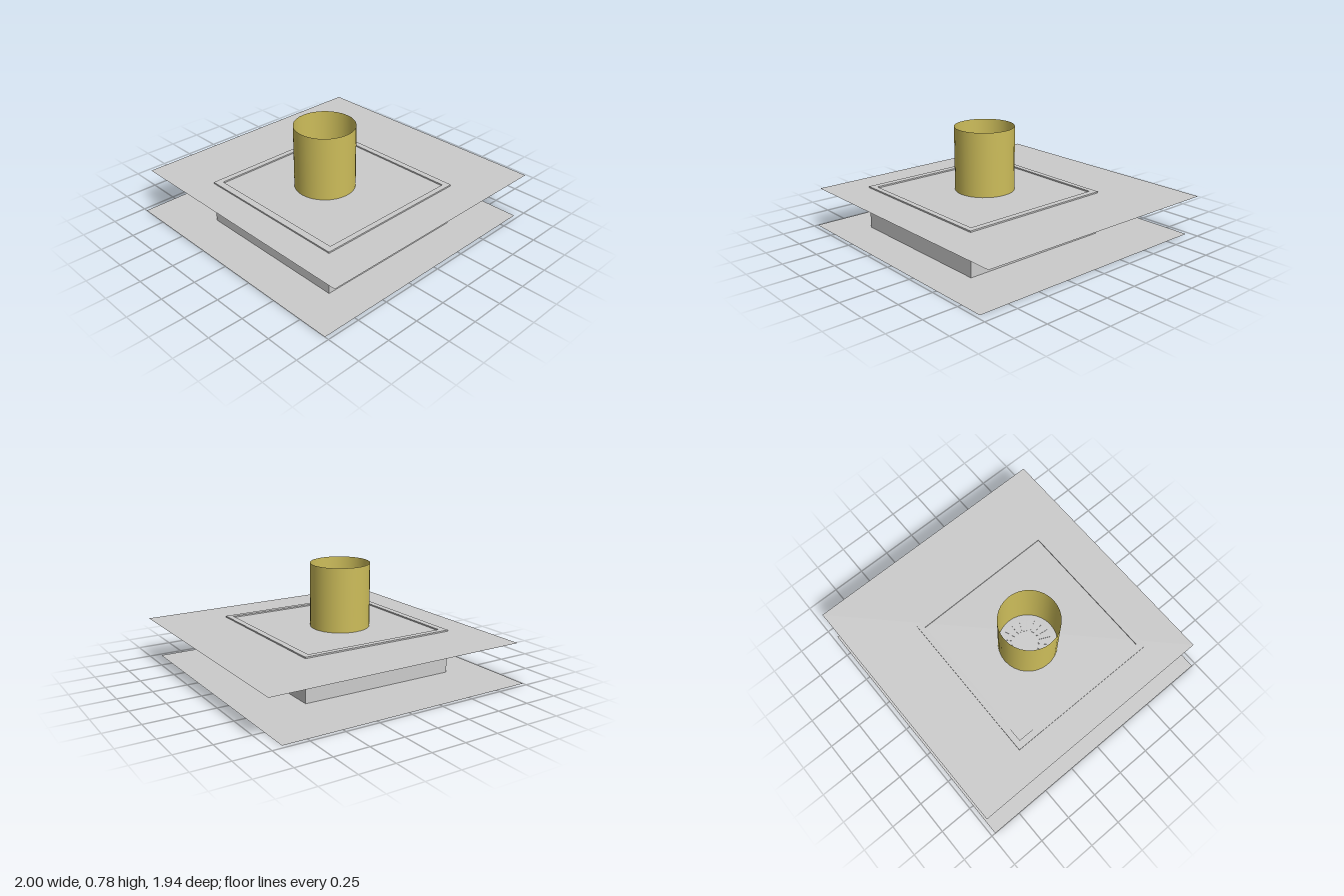
import * as THREE from 'three';

const grey = new THREE.MeshStandardMaterial({ color: 0xcccccc, side: THREE.DoubleSide });
const brass = new THREE.MeshStandardMaterial({ color: 0xcdbd5a, side: THREE.DoubleSide });

const UPPER = 0.31; // height of the upper sheet

// Path on the ground plane from [x, z] corners
const outline = (corners) => corners.map(([x, z]) => new THREE.Vector2(x, -z));

// Raise a ground shape by a height
function raise(shape, height) {
  const g = new THREE.ExtrudeGeometry(shape, { depth: height, bevelEnabled: false });
  return g.rotateX(-Math.PI / 2);
}

export function createModel() {
  const model = new THREE.Group();
  const add = (name, geometry, material, x = 0, y = 0, z = 0) => {
    const mesh = new THREE.Mesh(geometry, material);
    mesh.name = name;
    mesh.position.set(x, y, z);
    model.add(mesh);
  };

  // Two thin sheets, slightly offset sideways
  const sheet = new THREE.PlaneGeometry(1.92, 1.94).rotateX(-Math.PI / 2);
  add('lowerSheet', sheet, grey, -0.04, 0, 0);
  add('upperSheet', sheet, grey, 0.04, UPPER, 0);

  // Slightly skewed wall frame between the sheets, its rim just above the upper one
  const frame = new THREE.Shape(outline([[-0.7, 0.69], [0.49, 0.69], [0.48, -0.49], [-0.7, -0.5]]));
  frame.holes.push(new THREE.Path(outline([[-0.65, 0.65], [0.445, 0.65], [0.435, -0.45], [-0.65, -0.455]])));
  add('wallFrame', raise(frame, 0.32), grey);

  // Open brass tube
  const tube = new THREE.CylinderGeometry(0.218, 0.218, 0.78 - UPPER, 32, 1, true);
  add('tube', tube, brass, -0.135, (0.78 + UPPER) / 2, 0.055);

  // Ring of flat wedges on the floor of the tube
  const count = 18;
  const step = (Math.PI * 2) / count;
  for (let i = 0; i < count; i++) {
    const a = i * step + step * 0.1;
    const b = (i + 1) * step - step * 0.1;
    const point = (s, t) => [0.175 * s * Math.cos(t), 0.2 * s * Math.sin(t)];
    const wedge = new THREE.Shape(outline([point(0.5, a), point(0.5, b), point(0.95, b), point(0.95, a)]));
    add('drainWedge', raise(wedge, 0.004), grey, -0.125, UPPER, 0.04);
  }

  return model;
}
